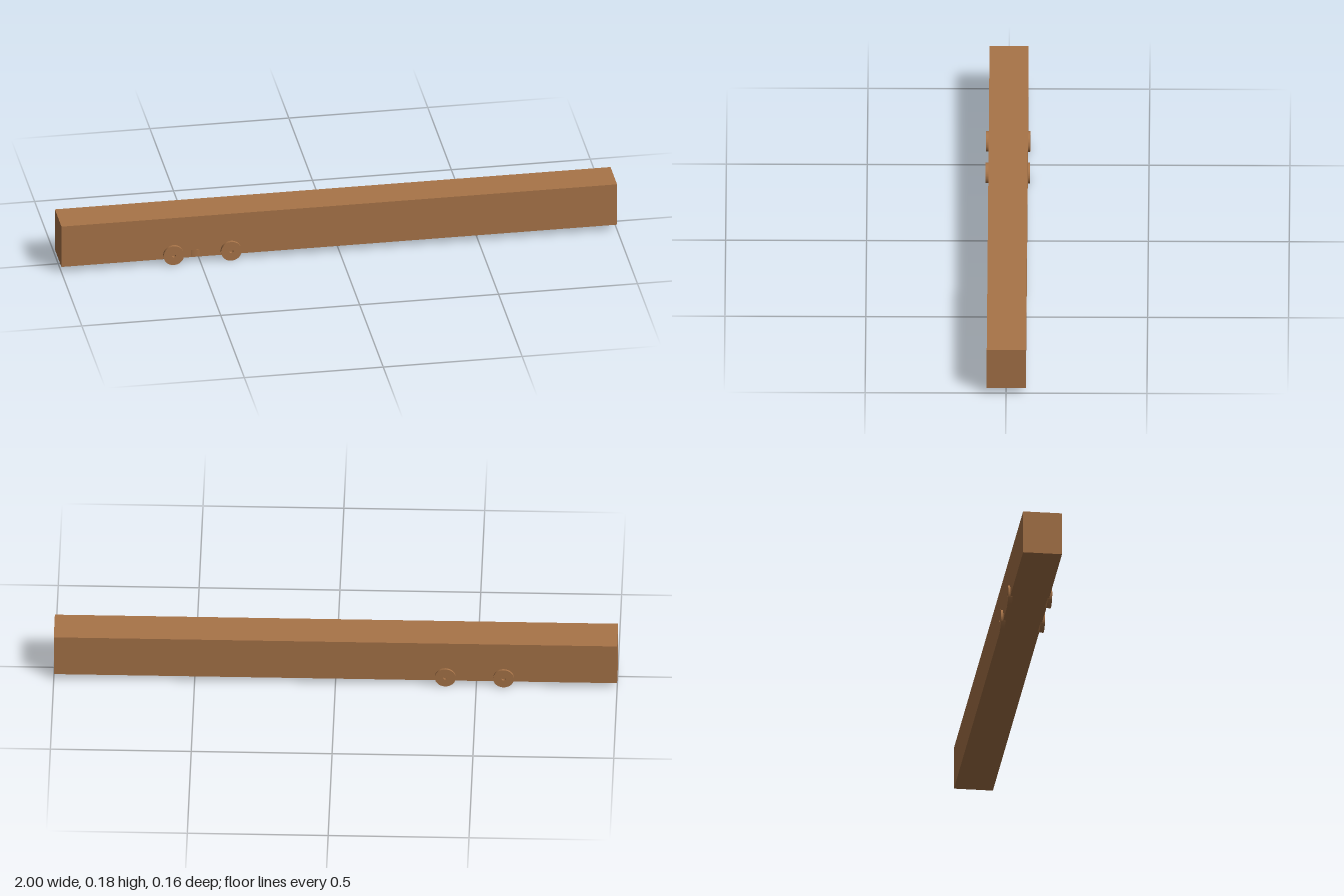
import * as THREE from 'three';

export function createModel() {
  const model = new THREE.Group();
  const wood = new THREE.MeshStandardMaterial({ color: 0xa87448 });
  wood.name = 'wood brown';

  const add = (name, geometry, x, y, z) => {
    const mesh = new THREE.Mesh(geometry, wood);
    mesh.name = name;
    mesh.position.set(x, y, z);
    model.add(mesh);
    return mesh;
  };

  // Long rectangular beam
  add('body', new THREE.BoxGeometry(2, 0.16, 0.139), 0, 0.101, -0.001);

  // Disc wheel with a small axle hole, extruded along z
  const radius = 0.037, thickness = 0.016;
  const disc = new THREE.Shape().absarc(0, 0, radius, 0, Math.PI * 2);
  disc.holes.push(new THREE.Path().absarc(0, 0, 0.007, 0, Math.PI * 2, true));
  const wheel = new THREE.ExtrudeGeometry(disc, {
    depth: thickness, bevelEnabled: false, curveSegments: 24,
  });
  wheel.translate(0, 0, -thickness / 2);

  // Two wheel pairs
  for (const x of [-0.597, -0.39]) {
    for (const z of [-0.07, 0.071]) add('wheel', wheel, x, radius, z);
  }

  // Low rounded peg barely standing out of the front face
  const peg = add('frontPeg', new THREE.CylinderGeometry(0.017, 0.017, 0.025, 20), -0.518, 0.036, 0.0675);
  peg.scale.z = 0.15;

  return model;
}
